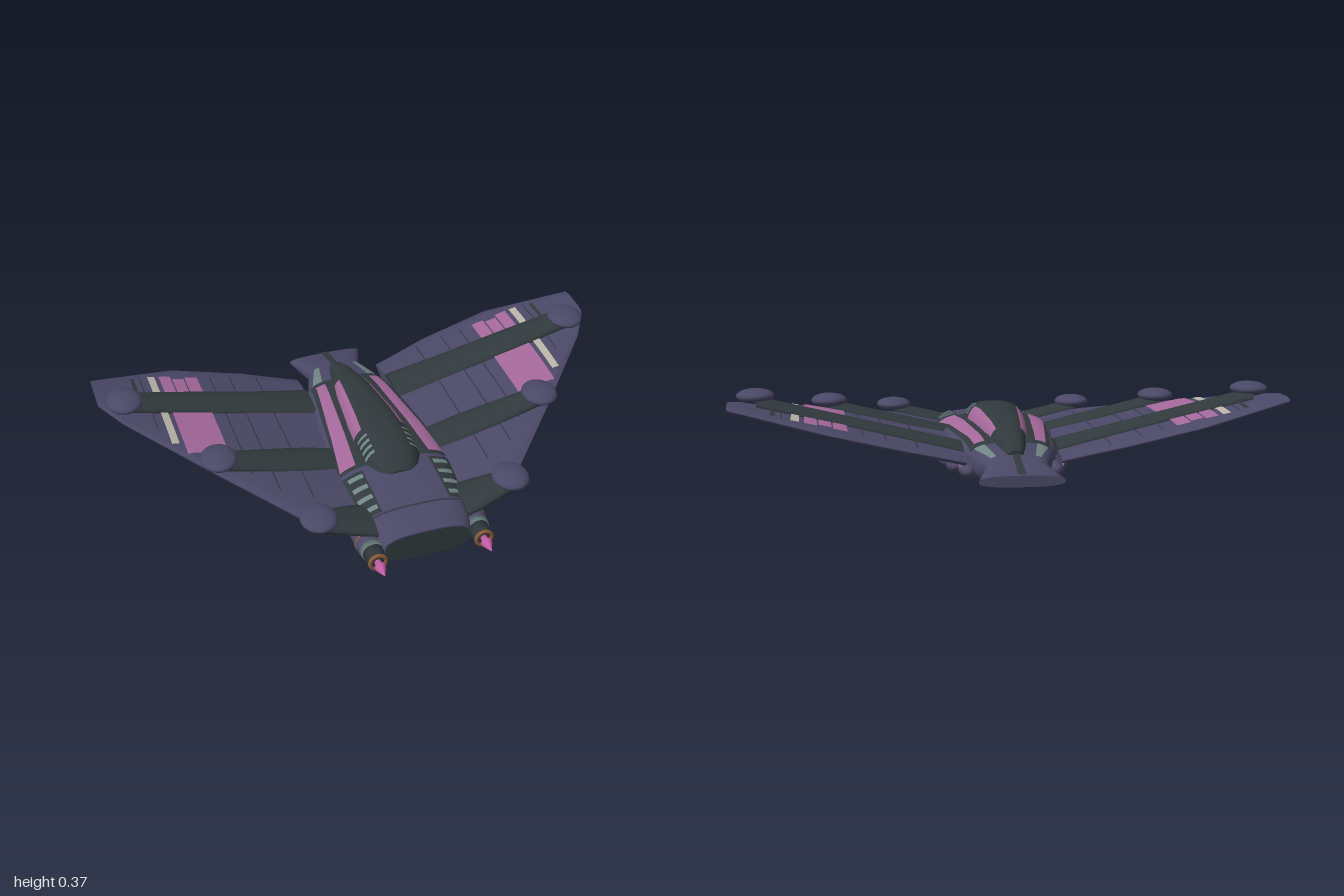
import * as THREE from 'three';

const mat = (name, color, extra = {}) => Object.assign(new THREE.MeshStandardMaterial({ color, ...extra }), { name });
const purple = mat('hull purple', 0x4a4866);
const dark = mat('dark slate', 0x30393c);
const pink = mat('dusty pink', 0xa4689a);
const hotPink = mat('bright pink', 0xc25ba6);
const cream = mat('cream', 0xb8b2a6);
const grey = mat('grey green', 0x6f8583);
const bronze = mat('bronze', 0x8a5c38);
const seam = mat('seam', 0x353547);

// Piecewise linear lookup in rows sorted by their first number
function lerpRows(rows, t) {
  let i = 0;
  while (i < rows.length - 2 && t > rows[i + 1][0]) i++;
  const a = rows[i], b = rows[i + 1];
  const k = THREE.MathUtils.clamp((t - a[0]) / (b[0] - a[0]), 0, 1);
  return a.map((v, j) => v + (b[j] - v) * k);
}

// Closed loft through rings of [x, y, z]; winding is fixed by the signed volume
function loft(rings) {
  const n = rings[0].length, pos = rings.flat(2), idx = [];
  for (let i = 0; i < rings.length - 1; i++) for (let j = 0; j < n; j++) {
    const k = (j + 1) % n, a = i * n + j, b = i * n + k, c = a + n, d = b + n;
    idx.push(a, b, d, a, d, c);
  }
  [0, rings.length - 1].forEach((r, end) => {
    const base = pos.length / 3, ring = rings[r];
    const mid = [0, 1, 2].map(c => ring.reduce((s, p) => s + p[c], 0) / n);
    pos.push(...ring.flat(), ...mid);
    for (let j = 0; j < n; j++) {
      const a = base + j, b = base + (j + 1) % n;
      idx.push(...(end ? [a, b, base + n] : [b, a, base + n]));
    }
  });
  let vol = 0;
  const P = i => new THREE.Vector3(pos[3 * i], pos[3 * i + 1], pos[3 * i + 2]);
  for (let i = 0; i < idx.length; i += 3) vol += P(idx[i]).dot(P(idx[i + 1]).cross(P(idx[i + 2])));
  return finish(pos, vol < 0 ? idx.reverse() : idx);
}

function finish(pos, idx) {
  const g = new THREE.BufferGeometry();
  g.setAttribute('position', new THREE.Float32BufferAttribute(pos, 3));
  g.setIndex(idx);
  g.computeVertexNormals();
  return g;
}

// Painted panel draped on a height function, between two edges [xInner, xOuter, z]
function patch(surface, s, [a0, a1, za], [b0, b1, zb], lift = 0.004) {
  const nx = 8, nz = 14, pos = [], idx = [];
  for (let j = 0; j <= nz; j++) for (let i = 0; i <= nx; i++) {
    const u = i / nx, v = j / nz, z = za + (zb - za) * v;
    const x = (a0 + (a1 - a0) * u) * (1 - v) + (b0 + (b1 - b0) * u) * v;
    pos.push(s * x, surface(x, z) + lift, z);
    if (i < nx && j < nz) {
      const p = j * (nx + 1) + i, q = p + nx + 1;
      idx.push(...(s > 0 ? [p, q, p + 1, p + 1, q, q + 1] : [p, p + 1, q, p + 1, q + 1, q]));
    }
  }
  return finish(pos, idx);
}

// Fuselage rows: z, half width, bottom, top
const HULL = [[-0.685, 0.15, 0.065, 0.105], [-0.55, 0.11, 0.05, 0.142], [-0.5, 0.125, 0.042, 0.155],
  [-0.3, 0.185, 0.02, 0.19], [0, 0.222, 0, 0.205], [0.25, 0.228, 0.005, 0.2],
  [0.45, 0.205, 0.015, 0.187], [0.54, 0.18, 0.03, 0.168], [0.575, 0.165, 0.042, 0.158]];
const EXP = 2.8;
const hullTop = (x, z) => {
  const [, w, b, t] = lerpRows(HULL, z);
  return (b + t) / 2 + (t - b) / 2 * Math.max(0, 1 - (Math.abs(x) / w) ** EXP) ** (1 / EXP);
};
const power = v => Math.sign(v) * Math.abs(v) ** (2 / EXP);
const hullRing = ([z, w, b, t]) => Array.from({ length: 48 }, (_, i) => {
  const a = i / 48 * Math.PI * 2;
  return [w * power(Math.cos(a)), (b + t) / 2 + (t - b) / 2 * power(Math.sin(a)), z];
});

// Canopy rows: z, half width, top
const CANOPY = [[-0.52, 0.03, 0.165], [-0.45, 0.048, 0.195], [-0.25, 0.085, 0.238], [-0.05, 0.108, 0.262],
  [0.1, 0.117, 0.264], [0.2, 0.113, 0.25], [0.25, 0.09, 0.23], [0.278, 0.068, 0.205]];
const SILL = 0.13;
const canopyTop = (x, z) => {
  const [, w, t] = lerpRows(CANOPY, z);
  return SILL + (t - SILL) * Math.max(0, 1 - (Math.abs(x) / w) ** EXP) ** (1 / EXP);
};
const canopyRing = ([z, w, t]) => Array.from({ length: 25 }, (_, i) => {
  const a = i / 24 * Math.PI;
  return [w * power(Math.cos(a)), SILL + (t - SILL) * power(Math.sin(a)), z];
});

// Wing rows: x, trailing z, leading z, mid height, half thickness
const WING = [[0.17, -0.505, 0.5, 0.122, 0.03], [0.3, -0.53, 0.48, 0.153, 0.027], [0.39, -0.55, 0.43, 0.174, 0.025],
  [0.67, -0.57, 0.11, 0.241, 0.02], [0.93, -0.508, -0.2, 0.303, 0.016], [1, -0.49, -0.32, 0.319, 0.014]];
const AIRFOIL = [[0, 0.1], [0.06, 0.65], [0.25, 1], [0.7, 1], [0.93, 0.75], [1, 0.2]];
const wingTop = (x, z) => {
  const [, zt, zl, y, h] = lerpRows(WING, x);
  return y + h * lerpRows(AIRFOIL, (z - zt) / (zl - zt))[1];
};
const wingRing = s => ([x, zt, zl, y, h]) => {
  const side = k => AIRFOIL.map(([u, p]) => [s * x, y + k * h * p, zt + (zl - zt) * u]);
  return [...side(1), ...side(-1).reverse()];
};

// Struts: centre z, then rows of x and half width; pods sit at their ends
const STRUTS = [
  { name: 'rear', z: -0.31, rows: [[0.17, 0.088], [0.22, 0.085], [0.4, 0.075], [0.65, 0.07], [0.9, 0.06]], pod: [0.905, 0.344, -0.287] },
  { name: 'middle', z: 0.072, rows: [[0.18, 0.07], [0.3, 0.075], [0.42, 0.07], [0.64, 0.052]], pod: [0.637, 0.278, 0.082] },
  { name: 'front', z: 0.44, rows: [[0.17, 0.09], [0.25, 0.08], [0.37, 0.055]], pod: [0.368, 0.212, 0.447] }];
const strutRing = (s, zc) => ([x, w]) => Array.from({ length: 20 }, (_, i) => {
  const a = i / 20 * Math.PI * 2, y = lerpRows(WING, x)[3];
  return [s * x, y + 0.02 + 0.029 * Math.sin(a), zc + w * Math.cos(a)];
});

// Turned part along z from [z, radius] points
const turned = pts => new THREE.LatheGeometry(pts.map(([z, r]) => new THREE.Vector2(r, z)), 24).rotateX(Math.PI / 2);

export function createModel() {
  const model = new THREE.Group();
  model.name = 'spacecraft';
  const add = (name, geometry, material, parent = model) => {
    const m = new THREE.Mesh(geometry, material);
    m.name = name;
    parent.add(m);
    return m;
  };

  // Body, nose plate, canopy
  add('fuselage', loft(HULL.map(hullRing)), purple);
  const nose = new THREE.Shape(hullRing([0, 0.162, 0.045, 0.155]).map(([x, y]) => new THREE.Vector2(x, y)));
  add('nosePlate', new THREE.ShapeGeometry(nose), dark).position.z = 0.578;
  add('canopy', loft(CANOPY.map(canopyRing)), dark);
  add('tailStripe', patch(hullTop, 1, [-0.015, 0.015, -0.683], [-0.012, 0.012, -0.5]), dark);
  add('noseSeam', patch(hullTop, 1, [-0.17, 0.17, 0.455], [-0.17, 0.17, 0.463]), seam);

  for (const s of [1, -1]) {
    const half = new THREE.Group();
    half.name = s > 0 ? 'leftSide' : 'rightSide';
    model.add(half);
    const paint = (name, surface, material, a, b, lift) => add(name, patch(surface, s, a, b, lift), material, half);

    // Wing with painted bands and panel seams
    add('wing', loft(WING.map(wingRing(s))), purple, half);
    for (const [x0, x1, z] of [[0.585, 0.635, -0.495], [0.64, 0.685, -0.48], [0.69, 0.735, -0.5]])
      paint('wingPinkRear', wingTop, pink, [x0, x1, z], [x0, x1, -0.31]);
    paint('wingPinkFront', wingTop, pink, [0.583, 0.735, -0.31], [0.583, 0.735, 0.01]);
    paint('wingCreamBand', wingTop, cream, [0.752, 0.78, -0.5], [0.752, 0.78, -0.05]);
    paint('wingDarkBand', wingTop, dark, [0.835, 0.85, -0.485], [0.835, 0.85, -0.3]);
    for (const [x, z] of [[0.34, 0.3], [0.45, 0.25], [0.53, 0.15], [0.81, -0.15]])
      paint('wingSeam', wingTop, seam, [x, x + 0.005, -0.5], [x, x + 0.005, z], 0.003);

    // Struts and pods on the wing
    for (const { name, z, rows, pod } of STRUTS) {
      add(name + 'Strut', loft(rows.map(strutRing(s, z))), dark, half);
      const p = add(name + 'Pod', new THREE.SphereGeometry(1, 28, 16), purple, half);
      p.scale.set(0.068, 0.027, 0.079);
      p.position.set(s * pod[0], pod[1], pod[2]);
    }

    // Painted deck: dark shoulders, pink bands, rear windows, front louvres
    paint('deckPanel', hullTop, dark, [0.04, 0.145, -0.4], [0.08, 0.215, 0.2], 0.003);
    paint('deckPinkBand', hullTop, pink, [0.092, 0.13, -0.37], [0.145, 0.206, 0.185], 0.007);
    paint('rearWindow', hullTop, grey, [0.07, 0.09, -0.53], [0.095, 0.135, -0.4], 0.005);
    paint('canopyPinkStripe', canopyTop, pink, [0.045, 0.07, -0.33], [0.078, 0.112, 0.05], 0.005);
    paint('louvrePanel', hullTop, dark, [0.13, 0.21, 0.22], [0.13, 0.195, 0.45], 0.003);
    for (let i = 0; i < 4; i++) {
      const z = 0.24 + i * 0.056, c = 0.085 + i * 0.03;
      paint('deckLouvre', hullTop, grey, [0.138, 0.195, z], [0.138, 0.193, z + 0.022], 0.006);
      paint('canopyLouvre', canopyTop, grey, [0.07, 0.105, c], [0.07, 0.105, c + 0.013], 0.004);
    }

    // Row of beads along the body side, with pink marks
    for (let i = 0; i < 8; i++) {
      const z = 0.445 - i * 0.121, x = lerpRows(HULL, z)[1] + 0.004;
      const bead = add('sideBead', new THREE.SphereGeometry(1, 20, 12), purple, half);
      bead.scale.set(0.032, 0.028, 0.066);
      bead.position.set(s * x, 0.08, z);
      for (const dz of [-0.016, 0.016])
        add('beadMark', new THREE.BoxGeometry(0.008, 0.007, 0.016), pink, half).position.set(s * (x + 0.026), 0.094, z + dz);
    }

    // Forward gun
    const gun = new THREE.Group();
    gun.name = 'gun';
    gun.position.set(s * 0.202, 0.095, 0);
    half.add(gun);
    add('gunHousing', turned([[0.3, 0], [0.34, 0.035], [0.4, 0.048], [0.535, 0.047], [0.535, 0]]), purple, gun);
    add('gunBand', turned([[0.494, 0.044], [0.495, 0.05], [0.502, 0.05], [0.503, 0.044]]), bronze, gun);
    add('gunCollar', turned([[0.533, 0], [0.533, 0.044], [0.557, 0.042], [0.557, 0]]), grey, gun);
    add('gunBarrel', turned([[0.555, 0], [0.555, 0.039], [0.6, 0.033], [0.6, 0]]), dark, gun);
    add('gunRing', new THREE.TorusGeometry(0.03, 0.007, 10, 28), bronze, gun).position.z = 0.612;
    add('gunMuzzle', turned([[0.59, 0], [0.59, 0.03], [0.61, 0.028], [0.61, 0]]), dark, gun);
    add('gunTip', turned([[0.605, 0.012], [0.625, 0.013], [0.635, 0.021], [0.645, 0.019], [0.69, 0]]), hotPink, gun);
  }
  return model;
}
